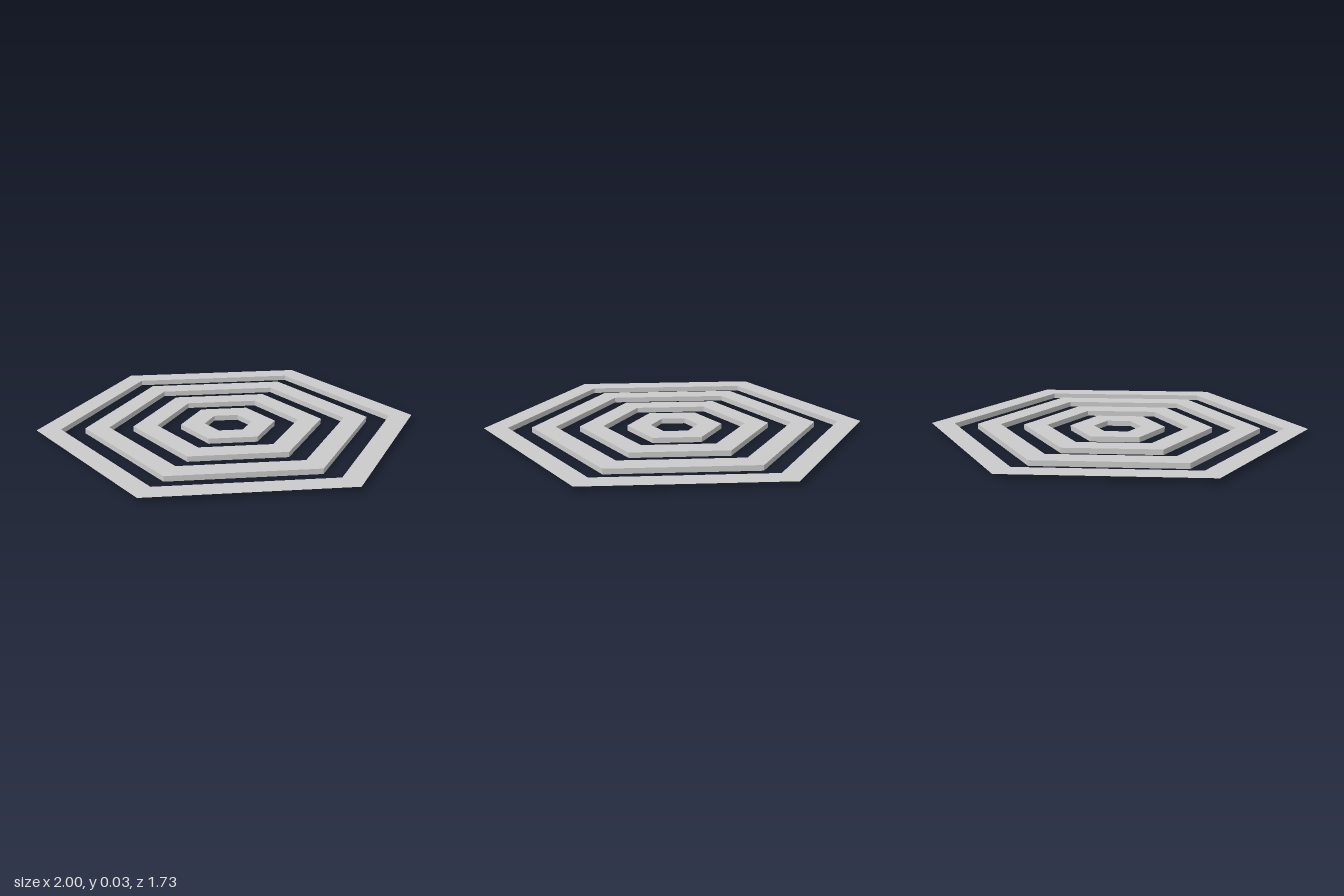
import * as THREE from 'three';

const HEIGHT = 0.028;
const BAND = 0.125; // width of each ring, measured at the corners

const material = new THREE.MeshStandardMaterial({
  color: 0xcccccc,
  flatShading: true,
  side: THREE.DoubleSide,
});

// Open six-sided wall with corners on the x axis; inward walls are mirrored to face the centre
function hexWall(radius, inward) {
  const geometry = new THREE.CylinderGeometry(radius, radius, HEIGHT, 6, 1, true, Math.PI / 2);
  geometry.translate(0, HEIGHT / 2, 0);
  if (inward) geometry.scale(1, 1, -1);
  const flat = geometry.toNonIndexed();
  flat.computeVertexNormals();
  return flat;
}

// Flat hexagonal band facing up
function hexTop(inner, outer) {
  return new THREE.RingGeometry(inner, outer, 6, 1).rotateX(-Math.PI / 2).translate(0, HEIGHT, 0);
}

export function createModel() {
  const model = new THREE.Group();
  model.name = 'concentricHexagons';

  // Four nested rings, open underneath
  for (let i = 1; i <= 4; i++) {
    const outer = i * 0.25;
    const inner = outer - BAND;
    const ring = new THREE.Group();
    ring.name = `hexRing${i}`;
    const add = (name, geometry) => {
      const mesh = new THREE.Mesh(geometry, material);
      mesh.name = name;
      ring.add(mesh);
    };
    add('topFace', hexTop(inner, outer));
    add('innerWall', hexWall(inner, true));
    // The largest ring has no rim wall
    if (i < 4) add('outerWall', hexWall(outer, false));
    model.add(ring);
  }
  return model;
}
